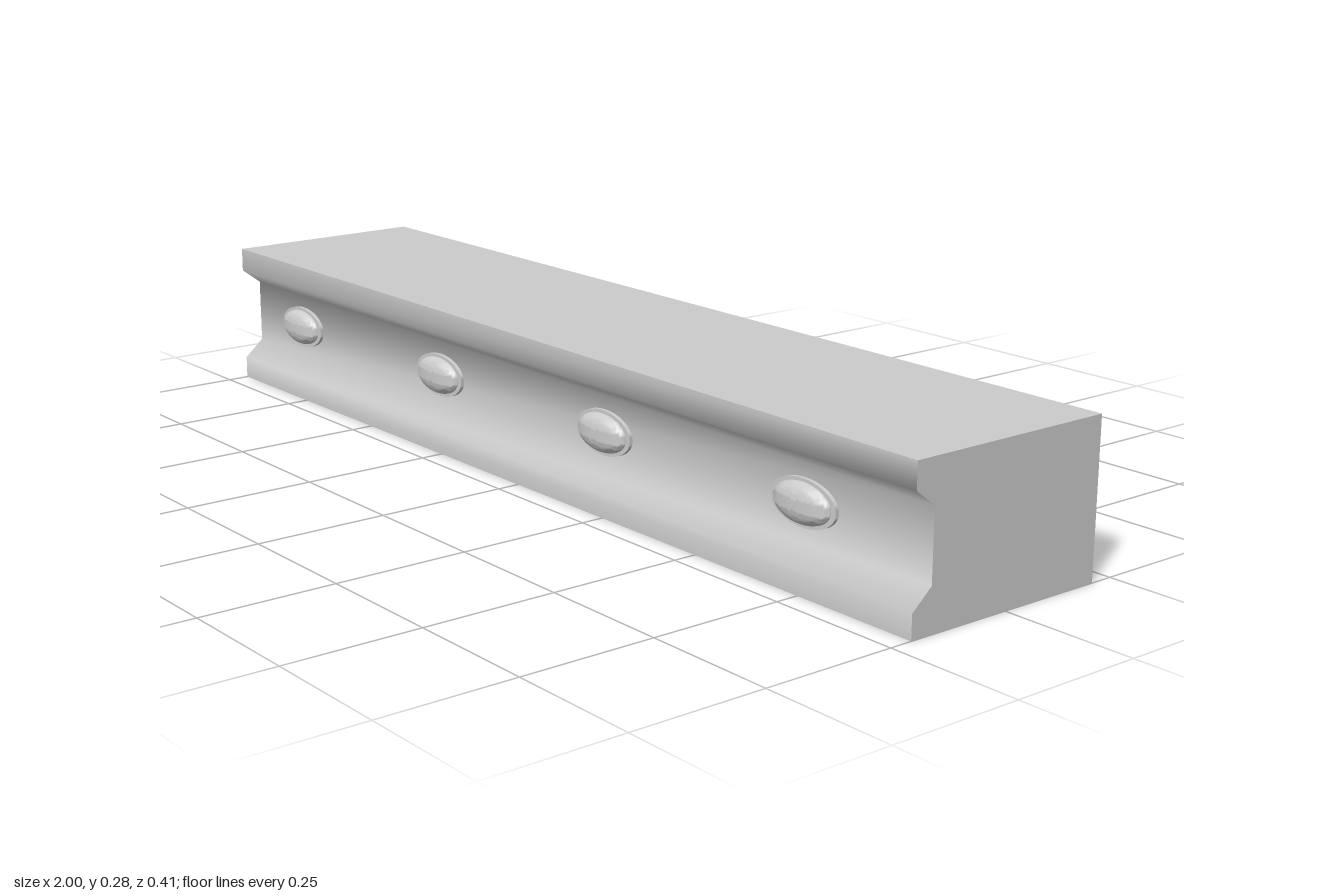
import * as THREE from 'three';
import { toCreasedNormals } from 'three/addons/utils/BufferGeometryUtils.js';

const LENGTH = 2;
const GROOVE_Z = 0.167;

export function createModel() {
  const group = new THREE.Group();
  const material = new THREE.MeshStandardMaterial({ color: 0xcccccc });

  // Bar: side profile (z, y) with a bevelled groove in the front, run along x
  const profile = [
    [-0.206, 0], [0.207, 0], [0.207, 0.044], [GROOVE_Z, 0.079],
    [GROOVE_Z, 0.206], [0.207, 0.236], [0.207, 0.283], [-0.206, 0.283],
  ];
  const shape = new THREE.Shape(profile.map(([z, y]) => new THREE.Vector2(-z, y)));
  const barGeometry = new THREE.ExtrudeGeometry(shape, { depth: LENGTH, bevelEnabled: false });
  barGeometry.translate(0, 0, -LENGTH / 2);
  barGeometry.rotateY(Math.PI / 2);
  const bar = new THREE.Mesh(toCreasedNormals(barGeometry, 1.2), material);
  bar.name = 'groovedBar';
  group.add(bar);

  // Knob: thin rim with a shallow dome, stretched to an oval
  const rim = 0.007, domeHeight = 0.021, domeRadius = 0.86;
  const points = [new THREE.Vector2(1, 0), new THREE.Vector2(1, rim)];
  for (let i = 0; i <= 10; i++) {
    const a = (i / 10) * Math.PI / 2;
    points.push(new THREE.Vector2(
      i === 10 ? 0 : domeRadius * Math.cos(a), rim + domeHeight * Math.sin(a)));
  }
  const knobGeometry = new THREE.LatheGeometry(points, 40);
  knobGeometry.rotateX(Math.PI / 2);
  knobGeometry.scale(0.076, 0.041, 1);
  const creasedKnob = toCreasedNormals(knobGeometry, 0.9);

  // Four evenly spaced knobs along the groove
  for (let i = 0; i < 4; i++) {
    const knob = new THREE.Mesh(creasedKnob, material);
    knob.name = 'ovalKnob' + (i + 1);
    knob.position.set(-0.815 + i * 0.5125, 0.141, GROOVE_Z);
    group.add(knob);
  }
  return group;
}
